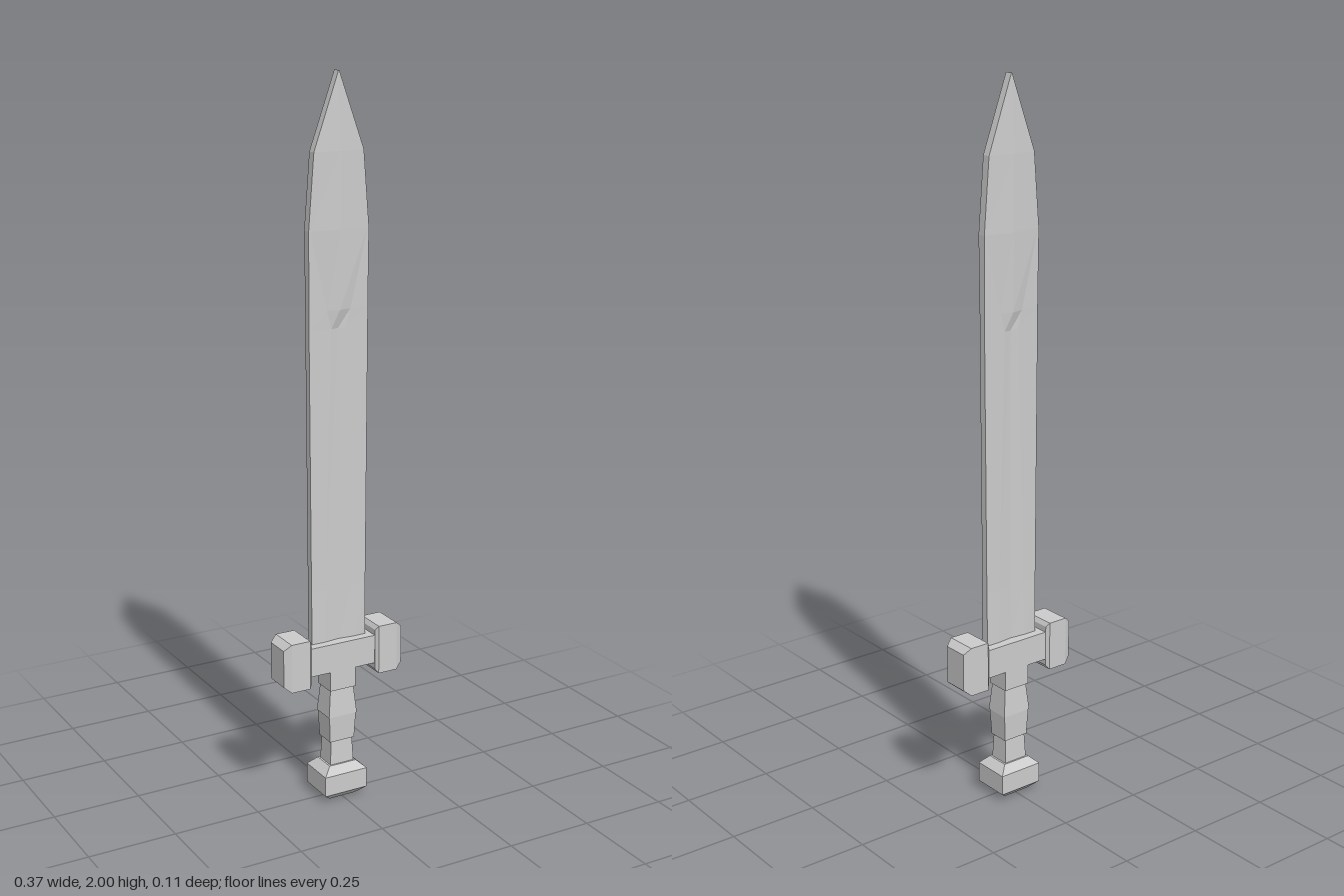
import * as THREE from 'three';

const material = new THREE.MeshStandardMaterial({ color: 0xcccccc, flatShading: true });

// Skin a stack of [y, ring] sections; rings run from +z towards +x.
function loft(name, sections) {
  const pos = [];
  const rings = sections.map(([y, ring]) => ring.map(([x, z]) => [x, y, z]));
  const n = rings[0].length;
  const tri = (a, b, c) => pos.push(...a, ...b, ...c);
  for (let i = 0; i < rings.length - 1; i++) {
    for (let j = 0; j < n; j++) {
      const k = (j + 1) % n;
      const a = rings[i][j], b = rings[i][k], c = rings[i + 1][k], d = rings[i + 1][j];
      tri(a, b, c);
      tri(a, c, d);
    }
  }
  const top = rings[rings.length - 1], bottom = rings[0];
  for (let j = 1; j < n - 1; j++) {
    tri(top[0], top[j], top[j + 1]);
    tri(bottom[0], bottom[j + 1], bottom[j]);
  }
  const geometry = new THREE.BufferGeometry();
  geometry.setAttribute('position', new THREE.Float32BufferAttribute(pos, 3));
  geometry.computeVertexNormals();
  const mesh = new THREE.Mesh(geometry, material);
  mesh.name = name;
  return mesh;
}

// Rectangular sections given as [y, half width, half depth]
const block = (name, rows) => loft(name, rows.map(([y, w, d]) =>
  [y, [[-w, d], [w, d], [w, -d], [-w, -d]]]));

// Blade section: edge (w, e), shoulder (g, m) and centre line depth c
const bladeRing = (w, e, g, m, c) => [
  [0, c], [g, m], [w, e], [w, -e], [g, -m],
  [0, -c], [-g, -m], [-w, -e], [-w, e], [-g, m],
];

export function createModel() {
  const sword = new THREE.Group();
  sword.name = 'sword';

  // Blade: fullered lower length, raised ridge towards the point
  sword.add(loft('blade', [
    [0.45, bladeRing(0.083, 0.011, 0.045, 0.012, 0.007)],
    [0.62, bladeRing(0.084, 0.010, 0.041, 0.010, 0.006)],
    [1.34, bladeRing(0.088, 0.010, 0.022, 0.010, 0.006)],
    [1.39, bladeRing(0.088, 0.010, 0.035, 0.0105, 0.018)],
    [1.60, bladeRing(0.089, 0.012, 0.085, 0.012, 0.021)],
    [1.80, bladeRing(0.073, 0.012, 0.069, 0.0125, 0.019)],
    [2.00, bladeRing(0.001, 0.011, 0.0005, 0.011, 0.011)],
  ]));

  // Crossguard bar with a bevelled block on each end
  sword.add(block('guardBar', [[0.385, 0.108, 0.037], [0.467, 0.108, 0.037]]));
  for (const side of [1, -1]) {
    const end = block(side > 0 ? 'guardEndLeft' : 'guardEndRight', [
      [0.1, 0.058, 0.038],
      [0.108, 0.07, 0.046],
      [0.165, 0.07, 0.046],
      [0.185, 0.053, 0.037],
    ]);
    end.rotation.z = -side * Math.PI / 2;
    end.position.y = 0.425;
    sword.add(end);
  }

  // Grip: collar and stepped, flaring segments
  sword.add(block('gripCollar', [[0.328, 0.04, 0.035], [0.39, 0.04, 0.035]]));
  const segments = [
    [0.248, 0.33, 0.044, 0.036],
    [0.172, 0.25, 0.038, 0.042],
    [0.095, 0.175, 0.037, 0.033],
  ];
  segments.forEach(([y0, y1, w0, w1], i) => sword.add(block(`gripSegment${i + 1}`, [
    [y0, w0, w0 * 0.8],
    [y1, w1, w1 * 0.8],
  ])));

  // Bevelled pommel
  sword.add(block('pommel', [
    [0, 0.04, 0.03],
    [0.023, 0.066, 0.054],
    [0.08, 0.066, 0.054],
    [0.102, 0.042, 0.034],
  ]));

  return sword;
}
